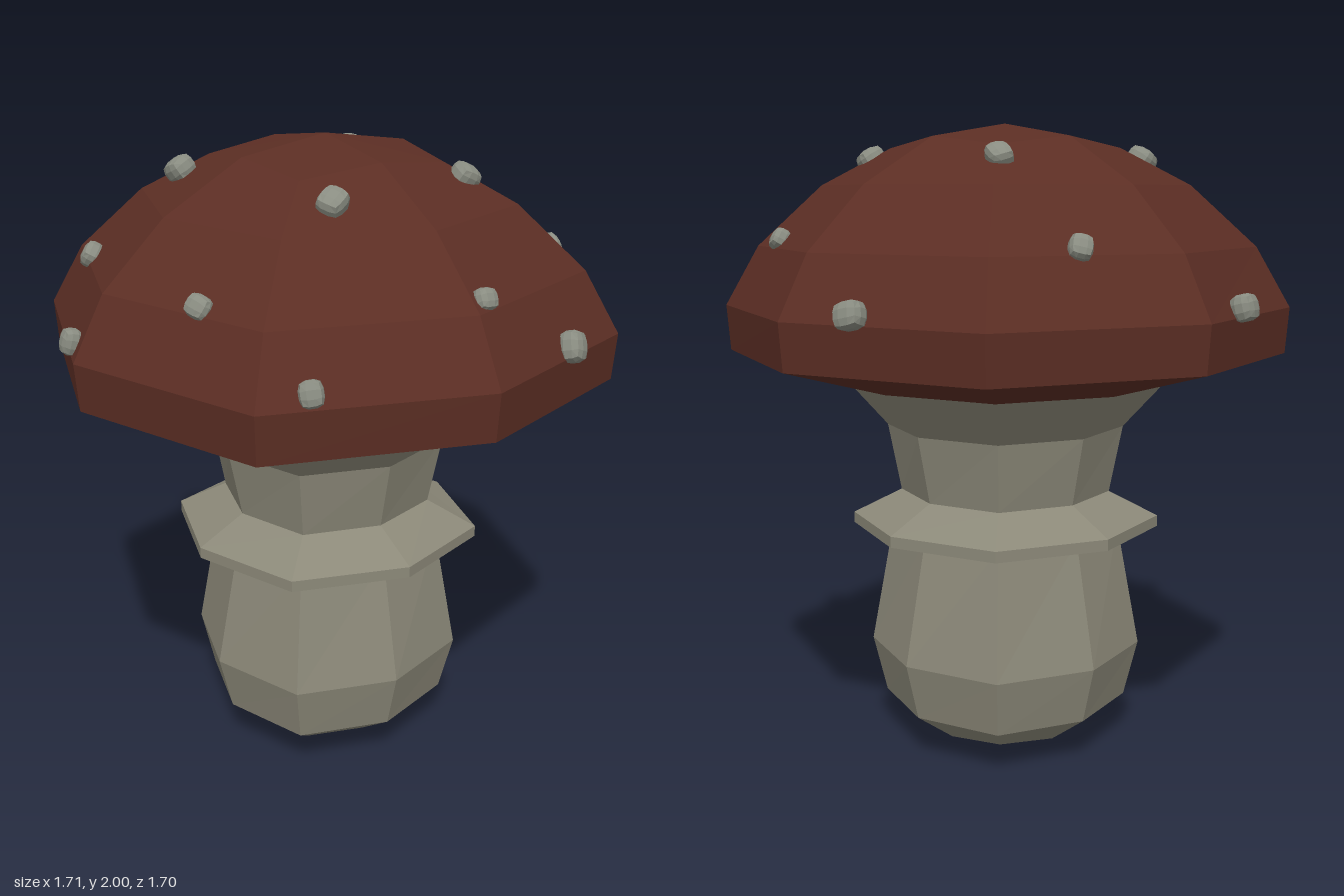
import * as THREE from 'three';

const capMat = new THREE.MeshStandardMaterial({ color: 0x5c2e24, flatShading: true });
capMat.name = 'dark red brown';
const stemMat = new THREE.MeshStandardMaterial({ color: 0x8c8979, flatShading: true });
stemMat.name = 'warm grey';
const spotMat = new THREE.MeshStandardMaterial({ color: 0x8a8d82, flatShading: true });
spotMat.name = 'pale grey';

// Eight-sided loft, bottom to top. Each ring is [y, reach along axes, corner coordinate, corner y].
function loft(rings) {
  const point = ([y, a, d, yd = y], i) => {
    const angle = (i % 8) * Math.PI / 4;
    const r = i % 2 ? d * Math.SQRT2 : a;
    return [Math.cos(angle) * r, i % 2 ? yd : y, Math.sin(angle) * r];
  };
  const pos = [];
  for (let k = 0; k < rings.length - 1; k++) {
    const low = rings[k], high = rings[k + 1];
    for (let i = 0; i < 8; i++) {
      const a = point(low, i), b = point(low, i + 1);
      const c = point(high, i + 1), d = point(high, i);
      if (low[1] > 0) pos.push(...a, ...d, ...b);
      if (high[1] > 0) pos.push(...b, ...d, ...c);
      if (low[1] === 0) pos.splice(pos.length - 9, 9, ...a, ...d, ...c);
    }
  }
  const geo = new THREE.BufferGeometry();
  geo.setAttribute('position', new THREE.Float32BufferAttribute(pos, 3));
  geo.computeVertexNormals();
  return geo;
}

// Small pebble: a subdivided box with its corners pulled in
function pebbleGeometry() {
  const geo = new THREE.BoxGeometry(2, 2, 2, 3, 3, 3);
  const p = geo.attributes.position;
  const v = new THREE.Vector3();
  for (let i = 0; i < p.count; i++) {
    v.fromBufferAttribute(p, i);
    const sphere = v.clone().normalize();
    v.multiplyScalar(0.85).lerp(sphere, 0.75);
    p.setXYZ(i, v.x, v.y, v.z);
  }
  geo.computeVertexNormals();
  return geo;
}

export function createModel() {
  const model = new THREE.Group();
  const add = (name, geo, mat) => {
    const mesh = new THREE.Mesh(geo, mat);
    mesh.name = name;
    model.add(mesh);
    return mesh;
  };

  // Bulbous stem flaring into the cap
  add('stem', loft([
    [0, 0, 0],
    [0.04, 0.23, 0.2, 0.065],
    [0.14, 0.37, 0.28],
    [0.32, 0.415, 0.312],
    [0.72, 0.335, 0.26],
    [0.83, 0.315, 0.24],
    [1.045, 0.36, 0.27],
    [1.19, 0.485, 0.365],
  ]), stemMat);

  // Collar around the stem
  add('skirt', loft([
    [0.79, 0.31, 0.235],
    [0.715, 0.47, 0.352],
    [0.75, 0.47, 0.352],
    [0.83, 0.315, 0.24],
  ]), stemMat);

  // Domed cap with a shallow underside
  add('cap', loft([
    [1.185, 0.47, 0.35],
    [1.285, 0.84, 0.63],
    [1.43, 0.852, 0.638],
    [1.62, 0.75, 0.56],
    [1.81, 0.55, 0.412],
    [1.955, 0.29, 0.255, 1.925],
    [2, 0, 0],
  ]), capMat);

  // Warts: x, y, z, radius
  const warts = [
    [-0.22, 1.46, -0.79, 0.05], [0.30, 1.64, -0.64, 0.042],
    [-0.62, 1.64, -0.35, 0.042], [-0.36, 1.89, -0.25, 0.05],
    [0.30, 1.89, -0.31, 0.046], [0.78, 1.46, -0.245, 0.05],
    [-0.82, 1.47, -0.08, 0.043], [-0.62, 1.64, 0.33, 0.042],
    [-0.22, 1.88, 0.37, 0.05], [0.29, 1.89, 0.31, 0.048],
    [0.615, 1.645, 0.345, 0.04], [-0.485, 1.47, 0.67, 0.042],
    [0.05, 1.645, 0.705, 0.04], [0.37, 1.46, 0.725, 0.052],
  ];
  const pebble = pebbleGeometry();
  warts.forEach(([x, y, z, r], i) => {
    const wart = add('wart' + (i + 1), pebble, spotMat);
    wart.position.set(x, y, z);
    wart.lookAt(x * 2, y + (y - 1.25), z * 2);
    wart.rotateZ(i * 1.3);
    wart.scale.set(r, r * 0.9, r * 0.8);
  });
  return model;
}
